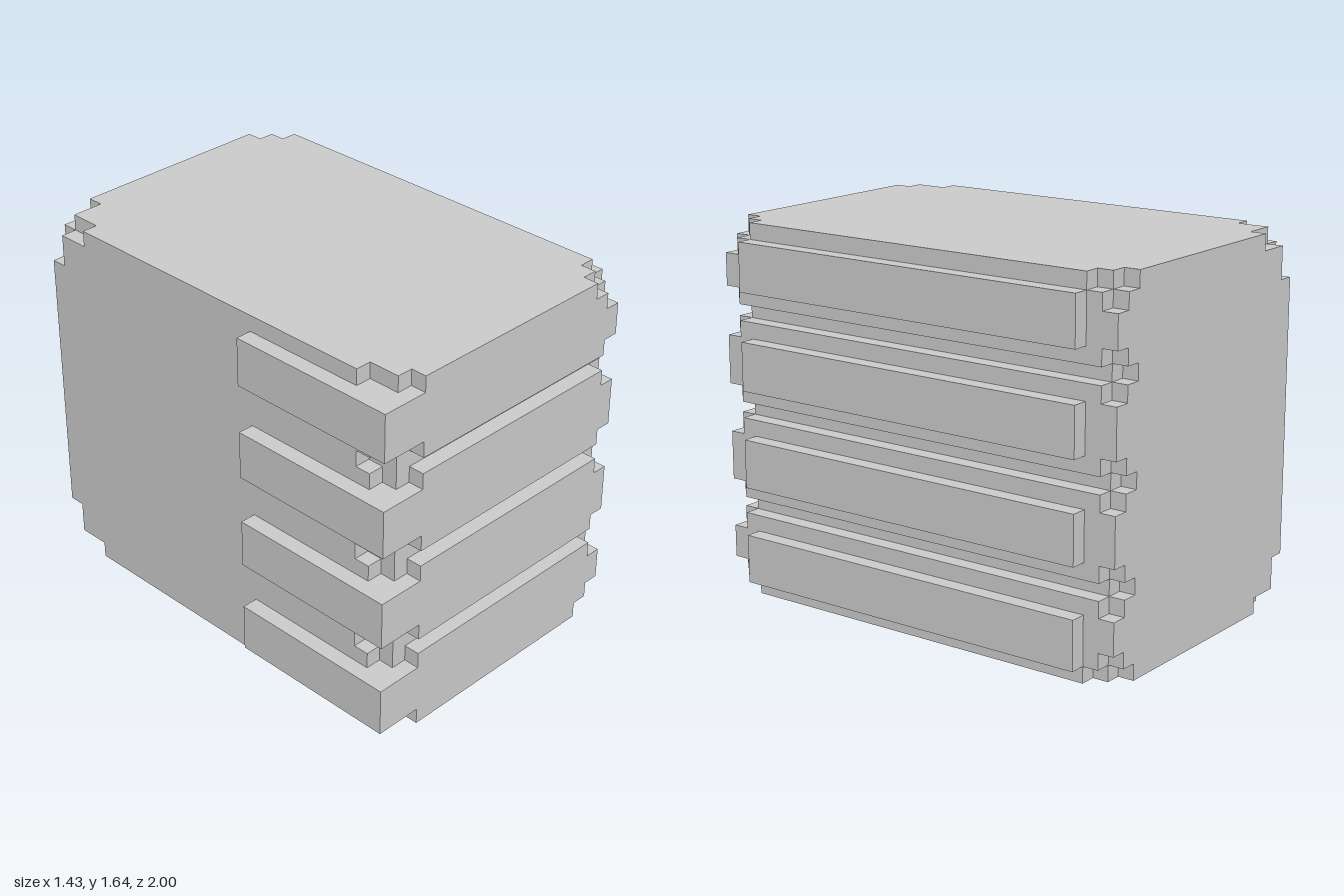
import * as THREE from 'three';

const U = 1 / 14; // one block unit

const material = new THREE.MeshStandardMaterial({ color: 0xcccccc, flatShading: true });

// Stepped plan outline. Each corner is [arm along x, arm along z] of a one-unit-thick notch, or null.
// Corner order: right front, left front, left back, right back (right = +x).
function planShape({ x0 = -9, x1 = 9, z0 = -14, z1 = 14, corners = [] }) {
  const pts = [];
  const places = [[x1, z1], [x0, z1], [x0, z0], [x1, z0]];
  places.forEach(([x, z], i) => {
    const c = corners[i];
    if (!c) { pts.push([x, z]); return; }
    const sx = -Math.sign(x), sz = -Math.sign(z);
    const steps = [
      [x, z + sz * c[1]], [x + sx, z + sz * c[1]], [x + sx, z + sz],
      [x + sx * c[0], z + sz], [x + sx * c[0], z],
    ];
    pts.push(...(i % 2 ? steps.reverse() : steps));
  });
  const clean = pts.filter((p, i) => {
    const q = pts[(i + 1) % pts.length];
    return p[0] !== q[0] || p[1] !== q[1];
  });
  return new THREE.Shape(clean.map(([x, z]) => new THREE.Vector2(x * U, -z * U)));
}

function addLayer(group, name, y0, y1, plan) {
  const geo = new THREE.ExtrudeGeometry(planShape(plan), { depth: (y1 - y0) * U, bevelEnabled: false });
  geo.rotateX(-Math.PI / 2);
  const mesh = new THREE.Mesh(geo, material);
  mesh.name = name;
  mesh.position.y = y0 * U;
  group.add(mesh);
}

function addBar(group, name, x, y0, z0, z1) {
  const mesh = new THREE.Mesh(new THREE.BoxGeometry(U, 3 * U, (z1 - z0) * U), material);
  mesh.name = name;
  mesh.position.set(x * U, (y0 + 1.5) * U, ((z0 + z1) / 2) * U);
  group.add(mesh);
}

export function createModel() {
  const model = new THREE.Group();
  model.name = 'stackedBlock';

  // Notched ends of the block, the same at top and bottom
  const cap = { corners: [[2, 2], [2, 3], [3, 3], [2, 2]] };
  const capStep = { corners: [[1, 1], null, [1, 1], [1, 1]] };
  const backStep = { corners: [null, null, [1, 1], null] };
  [[cap, 0], [capStep, 1], [backStep, 2]].forEach(([plan, y]) => {
    addLayer(model, 'bottomEnd', y, y + 1, plan);
    addLayer(model, 'topEnd', 22 - y, 23 - y, plan);
  });

  // Plain bodies of the four tiers
  [[3, 4], [7, 10], [13, 16], [19, 20]].forEach(([a, b]) => addLayer(model, 'tierBody', a, b, {}));

  // Grooves round the front and right, with notched lips above and below
  const lip = { corners: [[1, 1], [2, 2], null, [1, 1]] };
  const groove = { x1: 8, z1: 13, corners: [null, [1, 2], null, [1, 1]] };
  for (const y of [5, 11, 17]) {
    addLayer(model, 'lowerLip', y - 1, y, lip);
    addLayer(model, 'groove', y, y + 1, groove);
    addLayer(model, 'upperLip', y + 1, y + 2, lip);
  }

  // Raised side bars, one pair per tier
  for (let i = 0; i < 4; i++) {
    addBar(model, 'longSideBar', 9.5, 1 + 6 * i, -12, 12);
    addBar(model, 'shortSideBar', -9.5, 1 + 6 * i, 3, 14);
  }
  return model;
}
